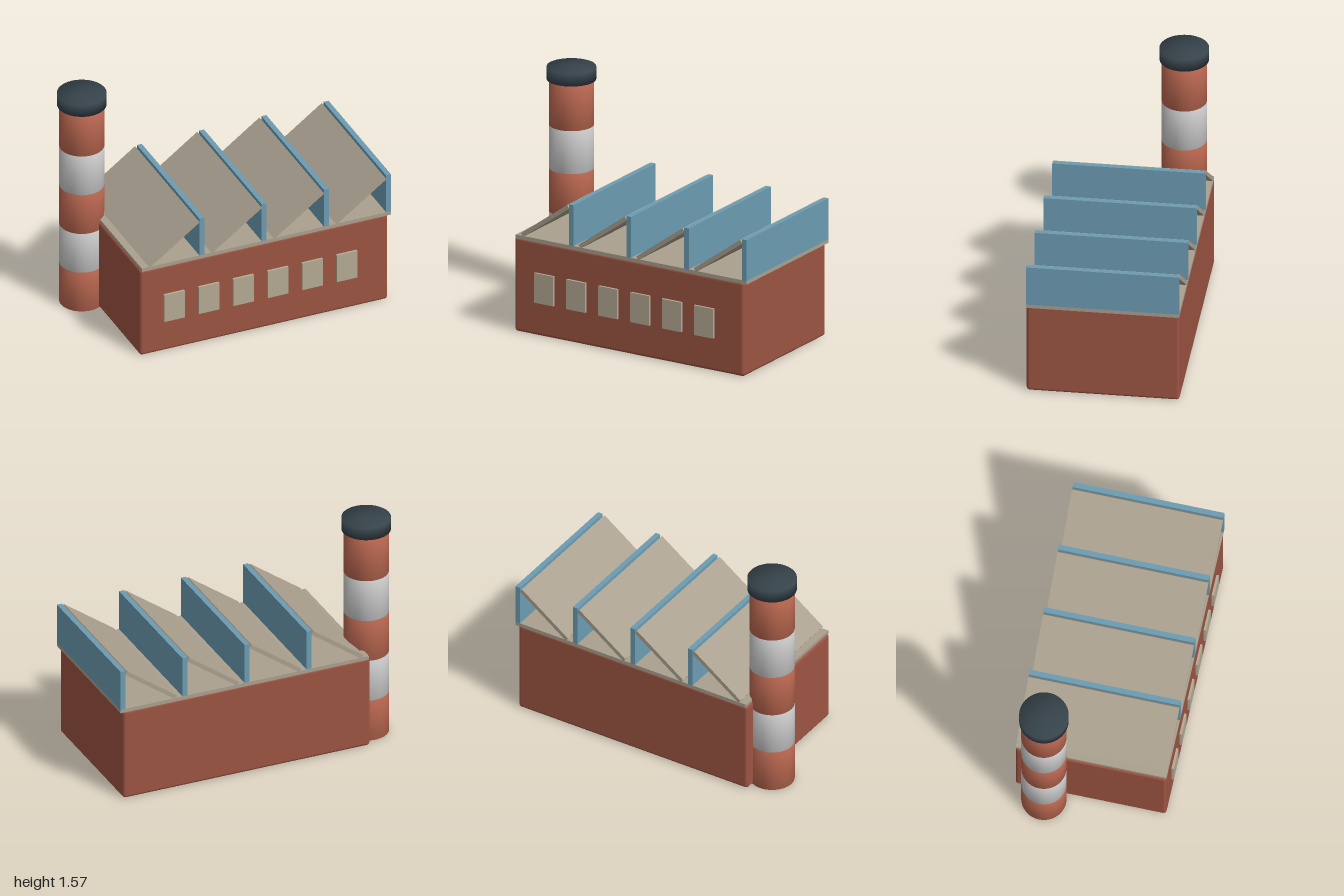
import * as THREE from 'three';
import { RoundedBoxGeometry } from 'three/addons/geometries/RoundedBoxGeometry.js';
import { mergeVertices } from 'three/addons/utils/BufferGeometryUtils.js';

const paint = (color) => new THREE.MeshStandardMaterial({ color });

export function createModel() {
  const model = new THREE.Group();
  const brick = paint(0x9c5442);
  const chimneyRed = paint(0xb8664f);
  const chimneyGrey = paint(0xcccccc);
  const metal = paint(0x36434b);
  const roofing = paint(0xaaa08f);
  const pane = paint(0xb4aa94);
  const glass = paint(0x6c9cb2);
  const midZ = -0.007;
  const depth = 1.0;

  const add = (name, geometry, material, x, y, z, parent = model) => {
    const mesh = new THREE.Mesh(geometry, material);
    mesh.name = name;
    mesh.position.set(x, y, z);
    parent.add(mesh);
    return mesh;
  };

  // Cylinder with normals smoothed over its rims
  const softCylinder = (radius, height) => {
    const geometry = new THREE.CylinderGeometry(radius, radius, height, 48);
    geometry.deleteAttribute('normal');
    geometry.deleteAttribute('uv');
    const merged = mergeVertices(geometry);
    merged.computeVertexNormals();
    return merged;
  };

  // Main hall and flat roof slab
  add('hall', new RoundedBoxGeometry(1.756, 0.645, depth, 3, 0.022), brick, 0.1, 0.3225, midZ);
  add('roofSlab', new THREE.BoxGeometry(1.765, 0.026, depth), roofing, 0.1155, 0.649, midZ);

  // Sawtooth roof: upright glazing with a leaning panel behind it
  const glazing = new THREE.BoxGeometry(0.035, 0.28, depth);
  const slope = new THREE.BoxGeometry(0.437, 0.028, depth);
  for (let i = 0; i < 4; i++) {
    const tooth = new THREE.Group();
    tooth.name = 'roofTooth' + (i + 1);
    tooth.position.x = i * 0.441;
    add('glazing', glazing, glass, -0.342, 0.801, midZ, tooth);
    add('slope', slope, roofing, -0.542, 0.795, midZ, tooth).rotation.z = 0.628;
    model.add(tooth);
  }

  // Row of front windows
  const windowPane = new THREE.BoxGeometry(0.145, 0.203, 0.03);
  for (let i = 0; i < 6; i++) {
    add('window' + (i + 1), windowPane, pane, -0.542 + i * 0.2445, 0.329, 0.494);
  }

  // Banded chimney with a separate cap
  const chimney = new THREE.Group();
  chimney.name = 'chimney';
  chimney.position.set(-0.84, 0, -0.303);
  const bandHeight = 0.294;
  const band = softCylinder(0.147, bandHeight);
  for (let i = 0; i < 5; i++) {
    add('band' + (i + 1), band, i % 2 ? chimneyGrey : chimneyRed, 0, (i + 0.5) * bandHeight, 0, chimney);
  }
  add('chimneyCap', softCylinder(0.161, 0.086), metal, 0, 1.529, 0, chimney);
  model.add(chimney);

  return model;
}
